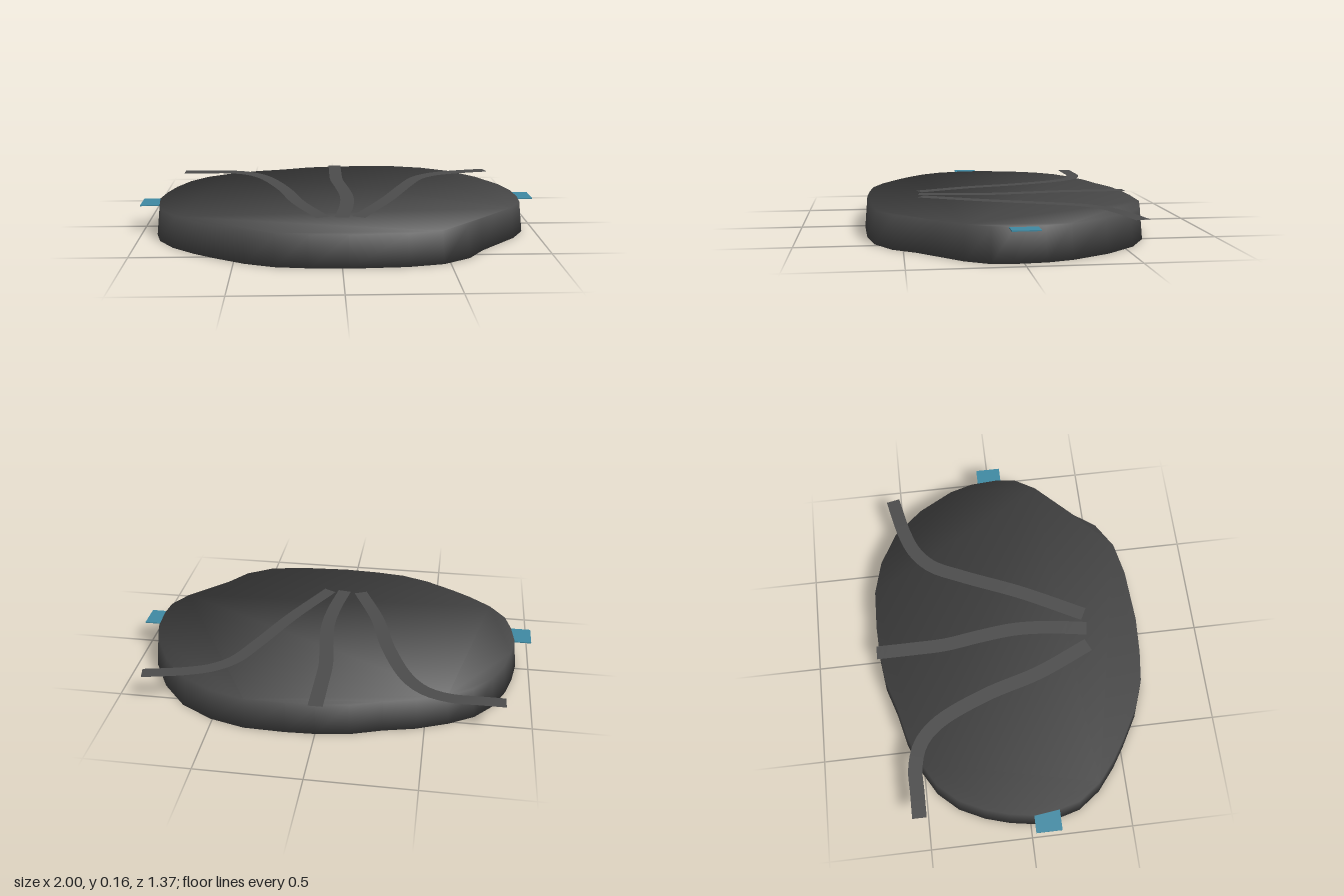
import * as THREE from 'three';

const TOP = 0.156, STRAP_Y = 0.16;

// Outline of the pad at the base, as x, z pairs
const OUTLINE = [
  [0, -0.68], [0.14, -0.686], [0.34, -0.68], [0.51, -0.635], [0.67, -0.545], [0.8, -0.4],
  [0.9, -0.22], [0.935, -0.1], [0.945, 0.04], [0.935, 0.14], [0.87, 0.25], [0.77, 0.35],
  [0.68, 0.44], [0.6, 0.55], [0.47, 0.63], [0.3, 0.665], [0.03, 0.68], [-0.155, 0.67],
  [-0.31, 0.65], [-0.45, 0.6], [-0.6, 0.515], [-0.7, 0.45], [-0.81, 0.36], [-0.89, 0.25],
  [-0.92, 0.14], [-0.935, 0.02], [-0.915, -0.1], [-0.88, -0.22], [-0.82, -0.345],
  [-0.73, -0.445], [-0.61, -0.515], [-0.46, -0.575], [-0.31, -0.61], [-0.155, -0.66],
];

// Tapered slab whose rim normals are shared by wall and caps
function slabGeometry(outline, height) {
  const n = outline.length, pos = [], nor = [], idx = [];
  for (const [y, s, up] of [[0, 1, -0.85], [height, 0.98, 0.8]]) {
    outline.forEach(([x, z], i) => {
      const a = outline[(i + n - 1) % n], b = outline[(i + 1) % n];
      const out = new THREE.Vector3(b[1] - a[1], 0, a[0] - b[0]).normalize();
      out.y = up;
      out.normalize();
      pos.push(x * s, y, z * s);
      nor.push(out.x, out.y, out.z);
    });
  }
  for (let i = 0; i < n; i++) {
    const j = (i + 1) % n;
    idx.push(i, n + i, j, j, n + i, n + j);
  }
  const pts = outline.map(([x, z]) => new THREE.Vector2(x, z));
  for (const [a, b, c] of THREE.ShapeUtils.triangulateShape(pts, [])) {
    const down = THREE.ShapeUtils.area([pts[a], pts[b], pts[c]]) > 0;
    const [p, q] = down ? [b, c] : [c, b];
    idx.push(a, p, q, n + a, n + q, n + p);
  }
  const g = new THREE.BufferGeometry();
  g.setAttribute('position', new THREE.Float32BufferAttribute(pos, 3));
  g.setAttribute('normal', new THREE.Float32BufferAttribute(nor, 3));
  g.setIndex(idx);
  return g;
}

// Flat ribbon of constant width along a curve through x, z points
function ribbonGeometry(points, width, steps = 32) {
  const curve = new THREE.CatmullRomCurve3(points.map(([x, z]) => new THREE.Vector3(x, STRAP_Y, z)));
  const pos = [], idx = [];
  for (let i = 0; i <= steps; i++) {
    const p = curve.getPointAt(i / steps), t = curve.getTangentAt(i / steps);
    const dx = -t.z * width / 2, dz = t.x * width / 2;
    pos.push(p.x - dx, p.y, p.z - dz, p.x + dx, p.y, p.z + dz);
    if (i < steps) {
      const k = i * 2;
      idx.push(k, k + 1, k + 2, k + 2, k + 1, k + 3);
    }
  }
  const g = new THREE.BufferGeometry();
  g.setAttribute('position', new THREE.Float32BufferAttribute(pos, 3));
  g.setIndex(idx);
  g.computeVertexNormals();
  return g;
}

export function createModel() {
  const group = new THREE.Group();
  const bodyMat = new THREE.MeshStandardMaterial({ color: 0x4a4a4a });
  bodyMat.name = 'charcoal';
  const strapMat = new THREE.MeshStandardMaterial({ color: 0x4c4c4c, side: THREE.DoubleSide });
  strapMat.name = 'strap grey';
  const tabMat = new THREE.MeshStandardMaterial({ color: 0x3f8aa3 });
  tabMat.name = 'teal';

  const add = (name, geometry, material) => {
    const mesh = new THREE.Mesh(geometry, material);
    mesh.name = name;
    group.add(mesh);
    return mesh;
  };

  add('body', slabGeometry(OUTLINE, TOP), bodyMat);

  // Three straps fanning out from the front to the back edge
  const straps = {
    rightStrap: [[-0.865, -0.533], [-0.74, -0.533], [-0.62, -0.533], [-0.5, -0.495], [-0.405, -0.4],
      [-0.29, -0.15], [-0.205, 0.13], [-0.085, 0.4]],
    middleStrap: [[-0.003, -0.68], [-0.003, -0.5], [0, -0.33], [0.025, -0.15], [0.043, 0.03],
      [0.035, 0.2], [0.005, 0.405]],
    leftStrap: [[0.863, -0.533], [0.76, -0.512], [0.65, -0.485], [0.54, -0.44], [0.45, -0.36],
      [0.37, -0.2], [0.245, 0.09], [0.085, 0.4]],
  };
  for (const [name, points] of Object.entries(straps)) add(name, ribbonGeometry(points, 0.07), strapMat);

  // Side tabs, tucked just below the top edge
  for (const [name, x, z] of [['rightTab', -0.95, 0.078], ['leftTab', 0.95, 0]]) {
    add(name, new THREE.BoxGeometry(0.1, 0.005, 0.126), tabMat).position.set(x, 0.151, z);
  }
  return group;
}
